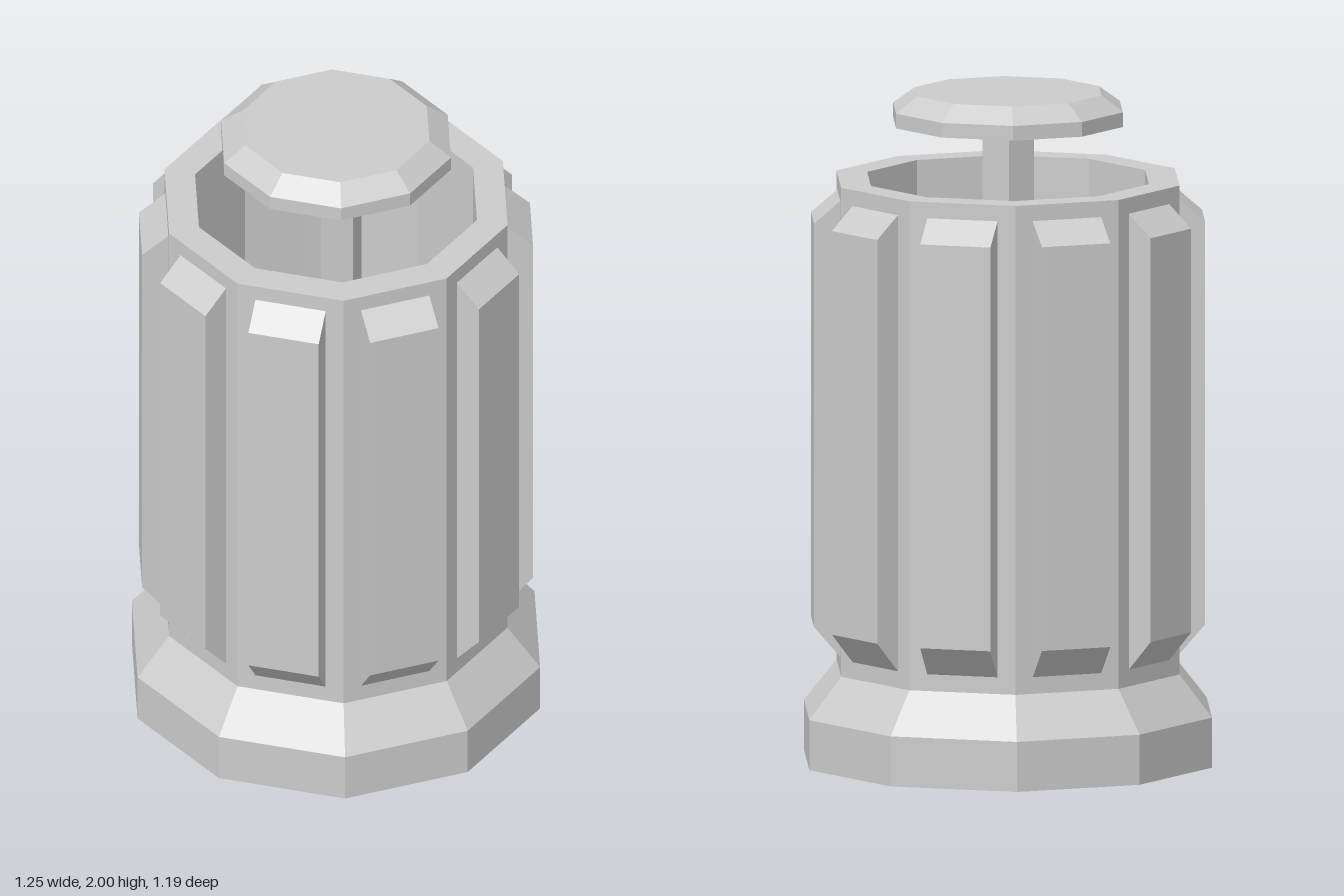
import * as THREE from 'three';

const SIDES = 10;
const material = new THREE.MeshStandardMaterial({ color: 0xcccccc, flatShading: true });

// Faceted solid of revolution with a corner on the x axis; profile runs outside upward
function turned(name, profile, sides = SIDES) {
  const points = profile.map(([r, y]) => new THREE.Vector2(r, y));
  const geometry = new THREE.LatheGeometry(points, sides, Math.PI / 2);
  const mesh = new THREE.Mesh(geometry, material);
  mesh.name = name;
  return mesh;
}

// Raised panel: side outline (depth, height) extruded across its width
function panelGeometry() {
  const width = 0.216;
  const outline = new THREE.Shape([
    [0.48, 0.325], [0.501, 0.325], [0.579, 0.415],
    [0.579, 1.625], [0.501, 1.692], [0.48, 1.692],
  ].map(([d, y]) => new THREE.Vector2(d, y)));
  const geometry = new THREE.ExtrudeGeometry(outline, { depth: width, bevelEnabled: false });
  geometry.translate(0, 0, -width / 2);
  geometry.rotateY(-Math.PI / 2); // outward direction becomes +z
  return geometry;
}

export function createModel() {
  const model = new THREE.Group();
  model.name = 'canister';

  // Flared foot
  model.add(turned('base', [[0, 0], [0.627, 0], [0.627, 0.15], [0.527, 0.275], [0, 0.275]]));

  // Hollow body, open at the top
  model.add(turned('body', [
    [0.527, 0.275], [0.527, 1.74], [0.433, 1.74], [0.433, 0.285], [0, 0.285],
  ]));

  // One panel on each face of the body
  const panels = new THREE.Group();
  panels.name = 'sidePanels';
  const geometry = panelGeometry();
  for (let i = 0; i < SIDES; i++) {
    const panel = new THREE.Mesh(geometry, material);
    panel.name = `panel${i + 1}`;
    panel.rotation.y = (i / SIDES) * Math.PI * 2;
    panels.add(panel);
  }
  model.add(panels);

  // Plunger: five-sided stem and bevelled cap
  model.add(turned('stem', [[0.08, 0.285], [0.08, 1.92]], 5));
  model.add(turned('cap', [[0, 1.908], [0.353, 1.908], [0.353, 1.952], [0.287, 2], [0, 2]]));

  return model;
}
